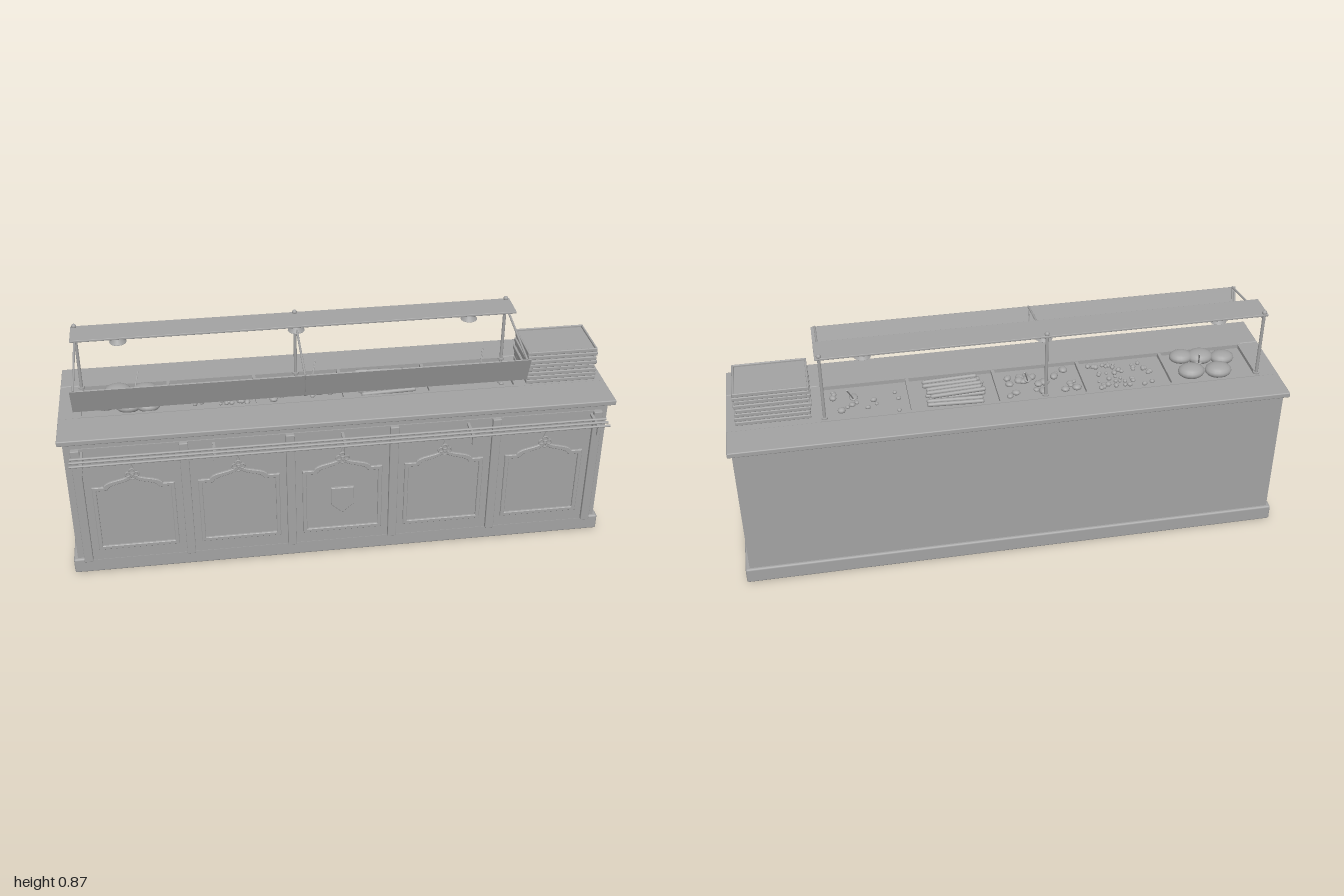
import * as THREE from 'three';
import { RoundedBoxGeometry } from 'three/addons/geometries/RoundedBoxGeometry.js';

const grey = new THREE.MeshStandardMaterial({ color: 0xa3a3a3 });
grey.name = 'plain grey';
grey.side = THREE.DoubleSide;

function add(parent, name, geometry, x = 0, y = 0, z = 0) {
  const mesh = new THREE.Mesh(geometry, grey);
  mesh.name = name;
  mesh.position.set(x, y, z);
  parent.add(mesh);
  return mesh;
}

// Box given by its limits on each axis, optionally with rounded edges
function block(parent, name, [x0, x1], [y0, y1], [z0, z1], r = 0) {
  const size = [x1 - x0, y1 - y0, z1 - z0];
  const geo = r ? new RoundedBoxGeometry(...size, 2, r) : new THREE.BoxGeometry(...size);
  return add(parent, name, geo, (x0 + x1) / 2, (y0 + y1) / 2, (z0 + z1) / 2);
}

// Round bar between two points
function bar(parent, name, a, b, r, sides = 10) {
  const p = new THREE.Vector3(...a), q = new THREE.Vector3(...b);
  const d = q.clone().sub(p);
  const mesh = add(parent, name, new THREE.CylinderGeometry(r, r, d.length(), sides));
  mesh.position.copy(p).add(q).multiplyScalar(0.5);
  mesh.quaternion.setFromUnitVectors(new THREE.Vector3(0, 1, 0), d.normalize());
  return mesh;
}

function group(parent, name) {
  const g = new THREE.Group();
  g.name = name;
  parent.add(g);
  return g;
}

let seed = 7;
const rand = (a = 0, b = 1) => {
  seed = (seed * 16807) % 2147483647;
  return a + (b - a) * seed / 2147483647;
};

// Door outline with an ogee arch; s insets it towards the middle
function doorOutline(s) {
  const w = 0.145 - s, b = 0.11 + s, t = 0.383 - s;
  const shape = new THREE.Shape();
  shape.moveTo(-w, b);
  shape.lineTo(w, b);
  shape.lineTo(w, t);
  shape.lineTo(0.105 - s, t);
  shape.bezierCurveTo(0.095 - s, t + 0.03, 0.02, t + 0.02, 0, t + 0.052);
  shape.bezierCurveTo(-0.02, t + 0.02, -0.095 + s, t + 0.03, -0.105 + s, t);
  shape.lineTo(-w, t);
  shape.closePath();
  return shape;
}

function buildFront(root) {
  const front = group(root, 'frontPanelling');
  block(front, 'frontBoard', [-0.955, 0.955], [0.06, 0.55], [0.183, 0.187]);
  for (let i = 0; i < 6; i++) {
    const x = -0.943 + i * 0.3772;
    block(front, 'pillar', [x - 0.016, x + 0.016], [0.06, 0.55], [0.183, 0.201], 0.003);
  }
  const frameShape = doorOutline(0);
  frameShape.holes.push(doorOutline(0.011));
  const frameGeo = new THREE.ExtrudeGeometry(frameShape, {
    depth: 0.006, bevelThickness: 0.002, bevelSize: 0.002, bevelSegments: 1, curveSegments: 10 });
  const diamond = new THREE.Shape([[0, -0.03], [0.014, 0], [0, 0.04], [-0.014, 0]]
    .map(p => new THREE.Vector2(...p)));
  const diamondGeo = new THREE.ExtrudeGeometry(diamond, { depth: 0.006, bevelEnabled: false });
  for (let i = 0; i < 5; i++) {
    const x = (i - 2) * 0.377;
    add(front, 'doorFrame', frameGeo, x, 0, 0.187);
    // Trefoil finial above each arch
    add(front, 'finialDiamond', diamondGeo, x, 0.435, 0.187);
    for (const [dx, dy] of [[-0.014, 0], [0.014, 0], [0, 0.013], [0, -0.012]])
      add(front, 'finialRing', new THREE.TorusGeometry(0.0095, 0.0035, 6, 14), x + dx, 0.433 + dy, 0.193);
  }
  const shield = new THREE.Shape([[-0.04, 0.3], [-0.04, 0.228], [0, 0.192], [0.04, 0.228], [0.04, 0.3]]
    .map(p => new THREE.Vector2(...p)));
  add(front, 'shield', new THREE.ExtrudeGeometry(shield, {
    depth: 0.008, bevelThickness: 0.002, bevelSize: 0.002, bevelSegments: 1 }), 0, 0, 0.187);
}

function buildRail(root) {
  const rail = group(root, 'traySlide');
  for (const z of [0.235, 0.257, 0.281]) bar(rail, 'slideRail', [-0.96, 0.541, z], [0.96, 0.541, z], 0.0045);
  for (let i = -2; i <= 2; i++) {
    const x = i * 0.46;
    block(rail, 'bracketArm', [x - 0.005, x + 0.005], [0.53, 0.539], [0.187, 0.28]);
    block(rail, 'bracketDrop', [x - 0.005, x + 0.005], [0.502, 0.53], [0.27, 0.28]);
  }
}

// Food for each pan, scattered around the pan centre
function scatter(parent, name, cx, count, r0, r1, squash) {
  for (let i = 0; i < count; i++) {
    const r = rand(r0, r1);
    const m = add(parent, name, new THREE.SphereGeometry(r, 10, 6),
      cx + rand(-0.125, 0.125), 0.589 + r * squash * 0.6, rand(-0.125, 0.03));
    m.scale.set(1, squash, rand(0.7, 1));
    m.rotation.y = rand(0, 3);
  }
}

function buildPans(root) {
  const pans = group(root, 'foodPans');
  block(pans, 'panFloor', [-0.925, 0.668], [0.57, 0.588], [-0.16, 0.062]);
  for (let i = 0; i <= 5; i++) {
    const x = -0.925 + i * 0.3185;
    block(pans, 'panDivider', [x - 0.006, x + 0.006], [0.575, 0.602], [-0.16, 0.062]);
  }
  for (const z of [-0.156, 0.058])
    block(pans, 'panLip', [-0.925, 0.668], [0.575, 0.603], [z - 0.006, z + 0.006]);

  const food = group(root, 'food');
  // Flat loaves
  for (const [x, z, r] of [[-0.83, -0.02, 0.045], [-0.75, 0.0, 0.05], [-0.68, 0.01, 0.045],
    [-0.79, -0.1, 0.05], [-0.69, -0.09, 0.05]])
    add(food, 'loaf', new THREE.SphereGeometry(r, 18, 10), x, 0.605, z).scale.set(1, 0.5, 0.85);
  scatter(food, 'smallRound', -0.448, 45, 0.007, 0.012, 0.8);
  scatter(food, 'vegetablePiece', -0.13, 24, 0.01, 0.019, 0.6);
  // Two layers of long sticks
  for (let i = 0; i < 12; i++) {
    const z = -0.125 + (i % 8) * 0.022 + (i > 7 ? 0.04 : 0), y = i > 7 ? 0.612 : 0.597;
    const m = add(food, 'foodStick', new THREE.CapsuleGeometry(0.008, 0.19, 3, 8), 0.19 + rand(-0.015, 0.015), y, z);
    m.rotation.set(0, rand(-0.09, 0.09), Math.PI / 2);
  }
  scatter(food, 'looseBit', 0.508, 13, 0.008, 0.016, 0.7);

  // Serving spoons leaning out of three pans
  for (const x of [-0.735, -0.085, 0.55]) {
    bar(food, 'spoonHandle', [x, 0.6, -0.04], [x + 0.024, 0.68, -0.1], 0.0025, 6);
    add(food, 'spoonBowl', new THREE.SphereGeometry(0.016, 12, 8), x, 0.602, -0.03).scale.set(1, 0.4, 1.3);
  }
}

function buildCanopy(root) {
  const canopy = group(root, 'sneezeGuard');
  block(canopy, 'topShelf', [-0.935, 0.675], [0.848, 0.856], [-0.152, -0.04], 0.002);
  for (const x of [-0.922, -0.13, 0.66]) {
    bar(canopy, 'post', [x, 0.59, -0.143], [x, 0.86, -0.143], 0.006);
    add(canopy, 'postKnob', new THREE.SphereGeometry(0.009, 12, 8), x, 0.86, -0.143);
    add(canopy, 'postFoot', new THREE.CylinderGeometry(0.012, 0.012, 0.006, 14), x, 0.605, -0.143);
    bar(canopy, 'arm', [x, 0.835, -0.143], [x, 0.781, 0.182], 0.004);
    bar(canopy, 'armDrop', [x, 0.781, 0.18], [x, 0.682, 0.145], 0.003);
  }
  // Two sloping shield sheets meeting at the middle arm
  const tilt = Math.atan2(0.035, 0.1);
  for (const [x0, x1] of [[-0.935, -0.132], [-0.128, 0.675]]) {
    const sheet = add(canopy, 'shieldSheet', new THREE.BoxGeometry(x1 - x0, 0.106, 0.004),
      (x0 + x1) / 2, 0.731, 0.165);
    sheet.rotation.x = tilt;
  }
  // Heat lamps with flared shades
  const shade = new THREE.LatheGeometry([[0, 0.85], [0.011, 0.85], [0.013, 0.838], [0.031, 0.814], [0.03, 0.812], [0.011, 0.834]]
    .map(([r, y]) => new THREE.Vector2(r, y)), 20);
  for (const x of [-0.77, -0.13, 0.51]) {
    add(canopy, 'lampShade', shade, x, 0, -0.092);
    add(canopy, 'lampBulb', new THREE.SphereGeometry(0.017, 14, 8), x, 0.823, -0.092);
  }
}

function buildTrays(root) {
  const trays = group(root, 'trayStack');
  const [w, d, h, rim] = [0.262, 0.188, 0.0148, 0.007];
  for (let i = 0; i < 8; i++) {
    const tray = group(trays, 'tray');
    tray.position.set(0.834 + rand(-0.004, 0.004), 0.601 + i * 0.0168, -0.037 + rand(-0.003, 0.003));
    block(tray, 'trayBase', [-w / 2 + 0.004, w / 2 - 0.004], [0, 0.008], [-d / 2 + 0.004, d / 2 - 0.004]);
    for (const s of [-1, 1]) {
      add(tray, 'trayEnd', new RoundedBoxGeometry(rim, h, d, 2, 0.003), s * (w - rim) / 2, h / 2 + 0.001, 0);
      add(tray, 'traySide', new RoundedBoxGeometry(w, h, rim, 2, 0.003), 0, h / 2 + 0.001, s * (d - rim) / 2);
    }
  }
}

export function createModel() {
  const root = new THREE.Group();
  root.name = 'servingCounter';

  // Cabinet
  block(root, 'plinth', [-1, 1], [0, 0.061], [-0.277, 0.182], 0.007);
  block(root, 'cabinet', [-0.985, 0.985], [0.06, 0.571], [-0.267, 0.171]);

  // Worktop: front and back slabs, with end pieces beside the pans
  block(root, 'frontWorktop', [-1, 1], [0.582, 0.602], [0.062, 0.213], 0.004);
  block(root, 'backWorktop', [-1, 1], [0.582, 0.602], [-0.29, -0.16], 0.004);
  block(root, 'rightWorktopEnd', [-1, -0.925], [0.571, 0.6], [-0.162, 0.066]);
  block(root, 'leftWorktopEnd', [0.668, 1], [0.571, 0.6], [-0.162, 0.066]);

  buildFront(root);
  buildRail(root);
  buildPans(root);
  buildCanopy(root);
  buildTrays(root);
  return root;
}
